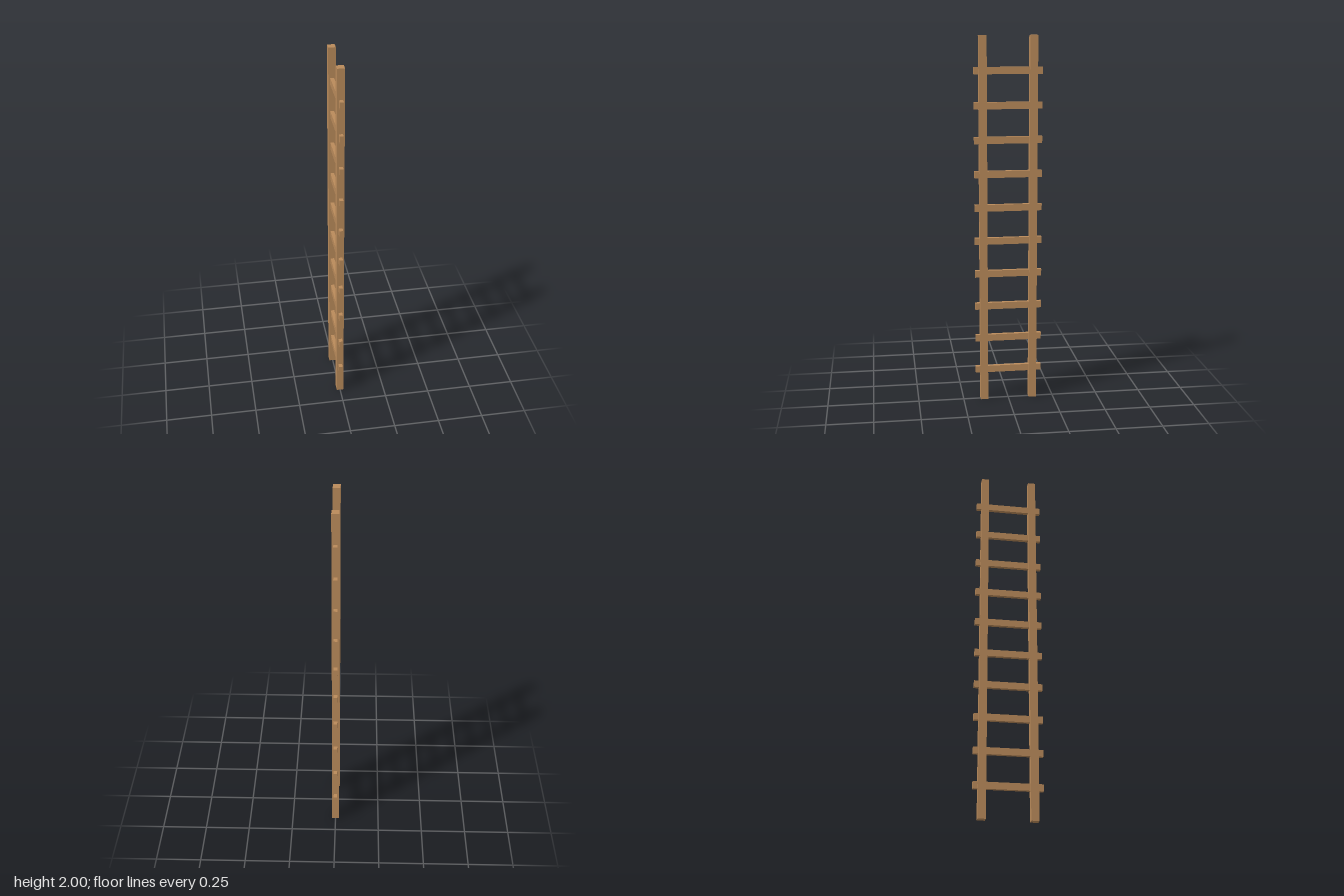
import * as THREE from 'three';

export function createModel() {
  const ladder = new THREE.Group();
  ladder.name = 'ladder';
  const wood = new THREE.MeshStandardMaterial({ color: 0xb98a5a });

  // Two upright rails, mirrored front to back
  const railGeometry = new THREE.BoxGeometry(0.039, 2, 0.042);
  for (const side of [1, -1]) {
    const rail = new THREE.Mesh(railGeometry, wood);
    rail.name = side > 0 ? 'frontRail' : 'backRail';
    rail.position.set(0, 1, side * 0.135);
    ladder.add(rail);
  }

  // Ten evenly spaced rungs whose ends poke out through the rails
  const rungGeometry = new THREE.BoxGeometry(0.02, 0.037, 0.364);
  for (let i = 0; i < 10; i++) {
    const rung = new THREE.Mesh(rungGeometry, wood);
    rung.name = `rung${i + 1}`;
    rung.position.y = 0.174 + i * 0.1827;
    ladder.add(rung);
  }

  return ladder;
}
